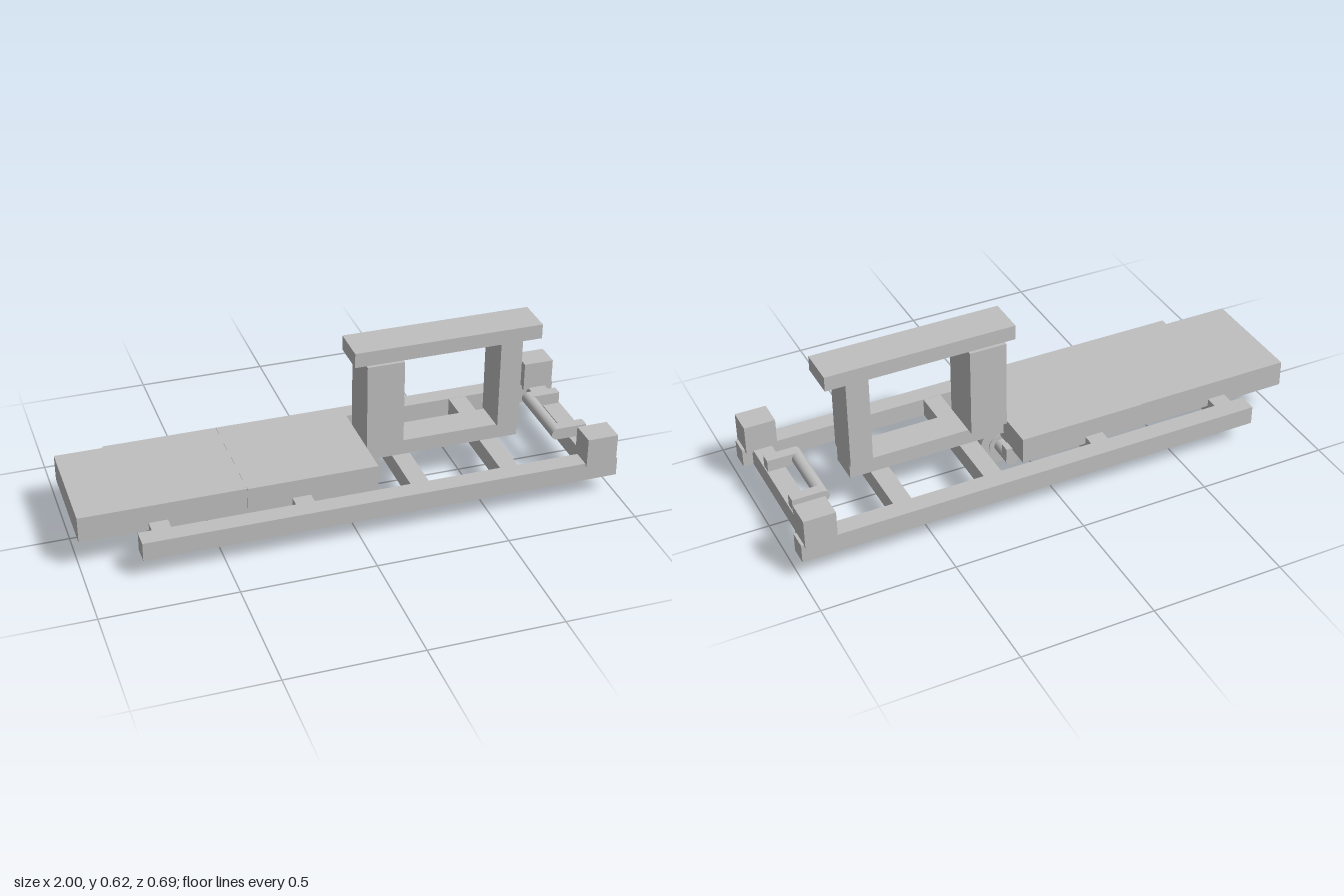
import * as THREE from 'three';

export function createModel() {
  const model = new THREE.Group();
  const grey = new THREE.MeshStandardMaterial({ color: 0xbfbfbf });
  grey.name = 'plain grey';

  const add = (name, geometry) => {
    const mesh = new THREE.Mesh(geometry, grey);
    mesh.name = name;
    model.add(mesh);
    return mesh;
  };
  // Box given by its limits on each axis
  const box = (name, x0, x1, y0, y1, z0, z1) =>
    add(name, new THREE.BoxGeometry(x1 - x0, y1 - y0, z1 - z0))
      .position.set((x0 + x1) / 2, (y0 + y1) / 2, (z0 + z1) / 2);
  // Two boxes mirrored across z = 0
  const boxPair = (name, x0, x1, y0, y1, z0, z1) => {
    box(name + 'Left', x0, x1, y0, y1, z0, z1);
    box(name + 'Right', x0, x1, y0, y1, -z1, -z0);
  };
  // Cylinder lying along z
  const rod = (name, x, y, r, halfLength, z = 0) =>
    add(name, new THREE.CylinderGeometry(r, r, halfLength * 2, 40).rotateX(Math.PI / 2))
      .position.set(x, y, z);

  // Ladder frame
  boxPair('frameRail', -0.8, 0.995, 0.083, 0.155, 0.262, 0.333);
  for (const x of [-0.715, -0.19, 0.243, 0.592, 0.922]) {
    box('crossMember', x - 0.035, x + 0.035, 0.083, 0.154, -0.262, 0.262);
  }

  // Long bed with a slightly wider inner half and a thin underplate
  box('bedOuter', -1, -0.39, 0.123, 0.224, -0.213, 0.213);
  box('bedInner', -0.39, 0.1, 0.123, 0.225, -0.217, 0.217);
  box('bedUnderplate', -0.97, -0.39, 0.108, 0.123, -0.17, 0.17);

  // Upright portal
  box('portalBase', 0.1, 0.705, 0.154, 0.213, -0.06, 0.06);
  box('portalWideColumn', 0.1, 0.242, 0.213, 0.56, -0.086, 0.086);
  box('portalNarrowColumn', 0.62, 0.705, 0.213, 0.56, -0.073, 0.073);
  box('portalTopBeam', 0.057, 0.78, 0.56, 0.617, -0.073, 0.073);

  // Corner blocks
  boxPair('cornerBlock', 0.866, 0.984, 0.147, 0.262, 0.245, 0.344);

  // Roller held between two round-nosed brackets
  rod('roller', 0.838, 0.177, 0.0235, 0.105);
  boxPair('rollerBracket', 0.838, 0.953, 0.154, 0.2005, 0.104, 0.144);
  for (const s of [-1, 1]) rod('bracketNose', 0.838, 0.177, 0.0235, 0.02, s * 0.124);

  // Centre wheel, hub, axle and support arms
  rod('wheel', 0.1, 0.08, 0.08, 0.028);
  rod('wheelHub', 0.1, 0.08, 0.045, 0.032);
  rod('axle', 0.1, 0.08, 0.025, 0.13);
  boxPair('wheelArm', -0.16, 0.1, 0.085, 0.105, 0.085, 0.11);
  boxPair('armMount', 0.08, 0.123, 0.09, 0.13, 0.09, 0.13);

  return model;
}
